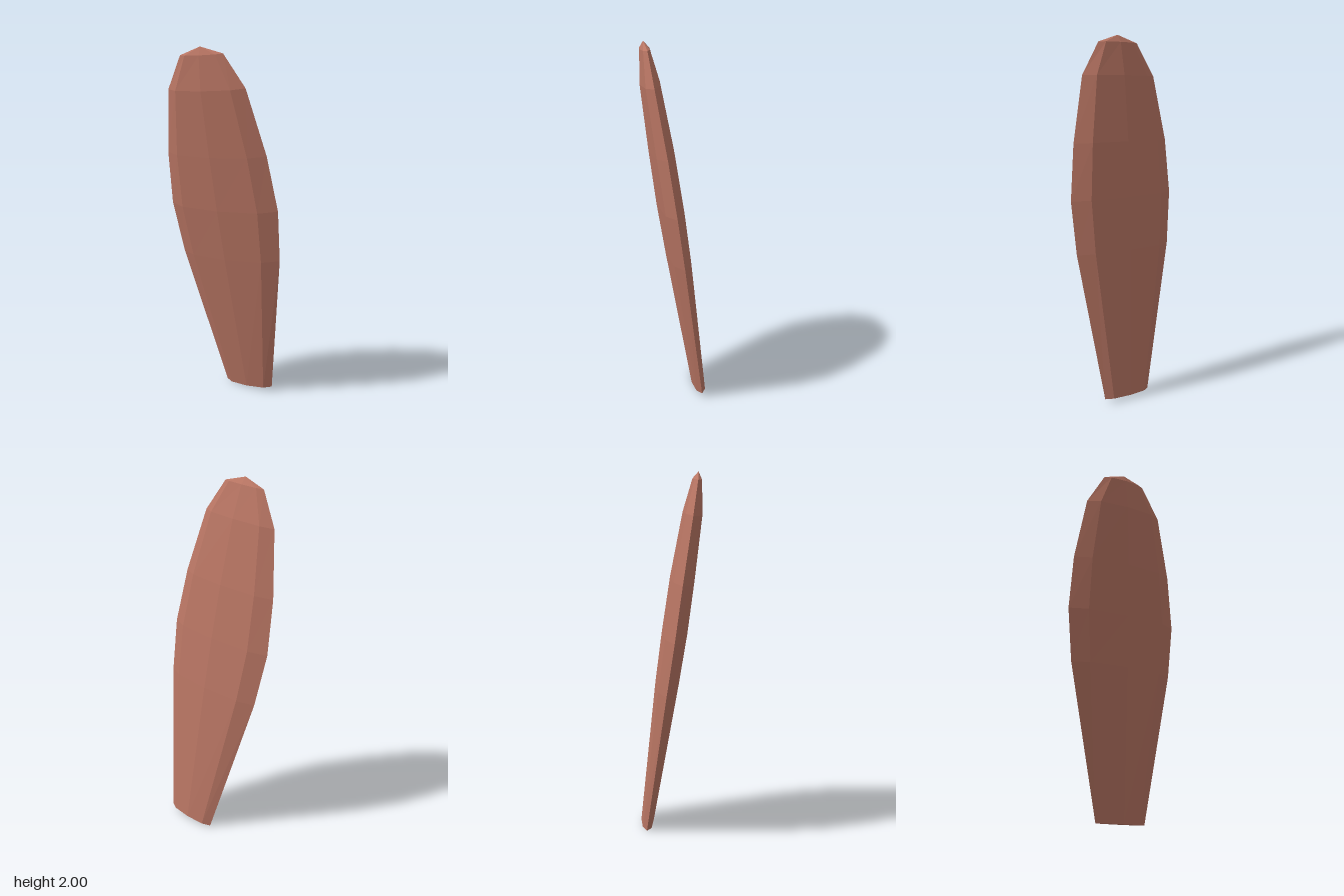
import * as THREE from 'three';

// Cross-sections from base to shoulder: front edge, back edge, half thickness
const SECTIONS = [
  [[0.17, 0.026, 0.205], [0.118, 0.004, -0.092], 0.036],
  [[0.07, 0.86, 0.32], [-0.03, 0.82, -0.295], 0.066],
  [[0.03, 1.15, 0.332], [-0.08, 1.11, -0.335], 0.071],
  [[-0.02, 1.45, 0.29], [-0.12, 1.41, -0.325], 0.068],
  [[-0.09, 1.8, 0.203], [-0.165, 1.765, -0.27], 0.054],
  [[-0.13, 1.97, 0.087], [-0.176, 1.95, -0.17], 0.026],
];
const TIP = new THREE.Vector3(-0.16, 2, -0.043);
const SIDES = 8;

// One eight-sided elliptical ring, thin across the blade
function makeRing([front, back, thickness]) {
  const f = new THREE.Vector3(...front);
  const b = new THREE.Vector3(...back);
  const centre = f.clone().add(b).multiplyScalar(0.5);
  const across = f.clone().sub(b).multiplyScalar(0.5);
  const normal = new THREE.Vector3(-0.155, 1, 0).cross(across).setLength(thickness);
  return Array.from({ length: SIDES }, (_, k) => {
    const a = (k / SIDES) * Math.PI * 2;
    return centre.clone()
      .addScaledVector(across, Math.cos(a))
      .addScaledVector(normal, Math.sin(a));
  });
}

function bladeGeometry() {
  const rings = SECTIONS.map(makeRing);
  const positions = [];
  const tri = (...pts) => pts.forEach((p) => positions.push(p.x, p.y, p.z));
  const base = rings[0];
  const last = rings[rings.length - 1];
  const baseCentre = base[0].clone().add(base[SIDES / 2]).multiplyScalar(0.5);

  for (let k = 0; k < SIDES; k++) {
    const n = (k + 1) % SIDES;
    // side walls
    for (let i = 0; i < rings.length - 1; i++) {
      const lo = rings[i], hi = rings[i + 1];
      tri(lo[k], lo[n], hi[n]);
      tri(lo[k], hi[n], hi[k]);
    }
    // pointed top and closed base
    tri(last[k], last[n], TIP);
    tri(baseCentre, base[n], base[k]);
  }

  const geometry = new THREE.BufferGeometry();
  geometry.setAttribute('position', new THREE.Float32BufferAttribute(positions, 3));
  geometry.computeVertexNormals();
  return geometry;
}

export function createModel() {
  const group = new THREE.Group();
  group.name = 'leaningBlade';
  const clay = new THREE.MeshStandardMaterial({ color: 0xb87563, flatShading: true });
  clay.name = 'terracotta';
  const blade = new THREE.Mesh(bladeGeometry(), clay);
  blade.name = 'blade';
  group.add(blade);
  return group;
}
